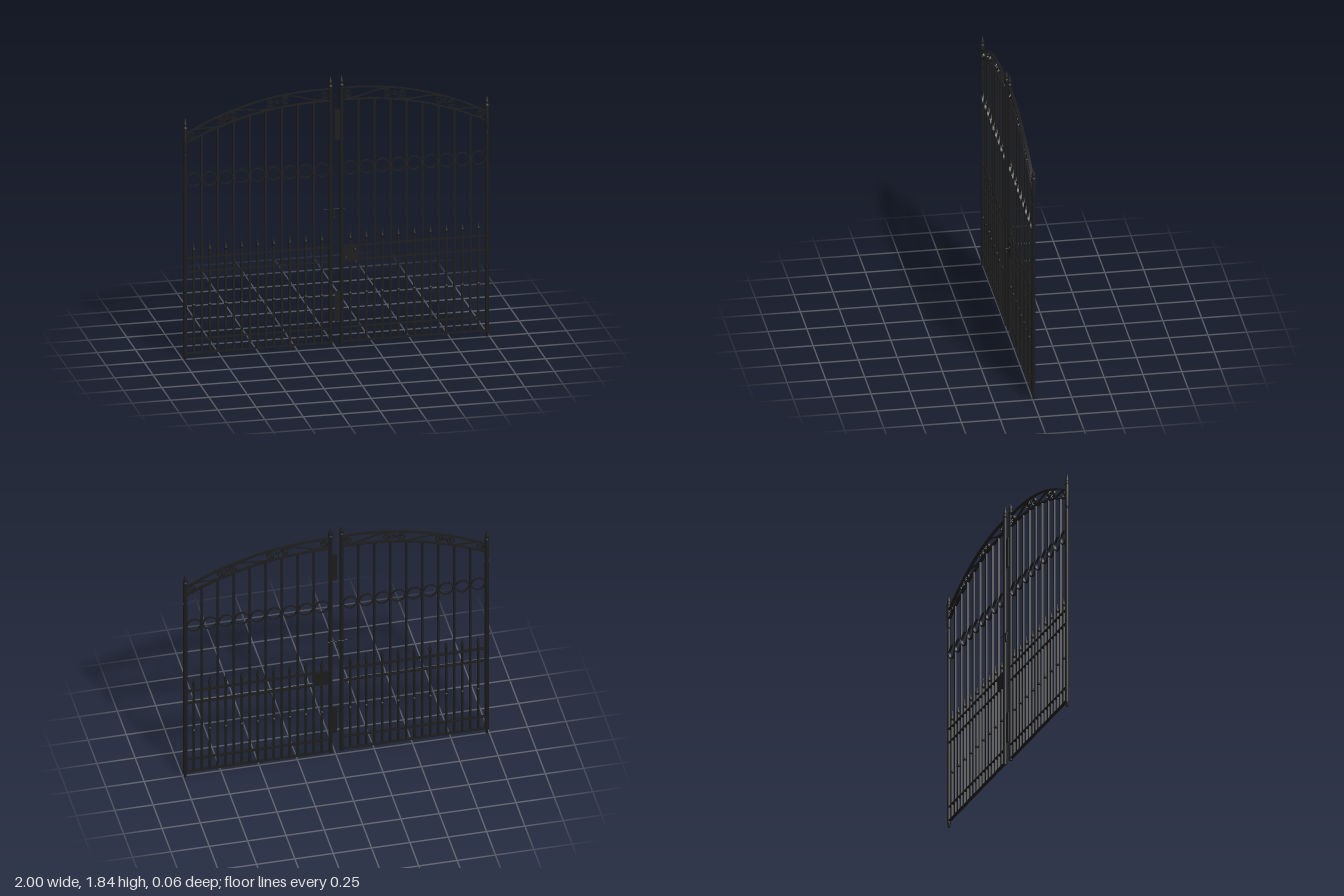
import * as THREE from 'three';

const iron = new THREE.MeshStandardMaterial({ color: 0x1b1b1b });
iron.name = 'black iron';

function add(parent, name, geometry, x = 0, y = 0, z = 0) {
  const mesh = new THREE.Mesh(geometry, iron);
  mesh.name = name;
  mesh.position.set(x, y, z);
  parent.add(mesh);
  return mesh;
}

const box = (w, h, d) => new THREE.BoxGeometry(w, h, d);
const lathe = (pts, n = 14) => new THREE.LatheGeometry(pts.map(([r, y]) => new THREE.Vector2(r, y)), n);

// Flat bar bent along a 2D path, extruded in z
function ribbon(points, thickness, depth) {
  const left = [], right = [];
  points.forEach((p, i) => {
    const a = points[Math.max(i - 1, 0)], b = points[Math.min(i + 1, points.length - 1)];
    const n = new THREE.Vector2(a.y - b.y, b.x - a.x).normalize().multiplyScalar(thickness / 2);
    left.push(p.clone().add(n));
    right.push(p.clone().sub(n));
  });
  const geo = new THREE.ExtrudeGeometry(new THREE.Shape([...left, ...right.reverse()]), { depth, bevelEnabled: false });
  return geo.translate(0, 0, -depth / 2);
}

function ring(radius, thickness, depth) {
  const shape = new THREE.Shape().absarc(0, 0, radius, 0, Math.PI * 2);
  shape.holes.push(new THREE.Path().absarc(0, 0, radius - thickness, 0, Math.PI * 2));
  return new THREE.ExtrudeGeometry(shape, { depth, bevelEnabled: false, curveSegments: 16 }).translate(0, 0, -depth / 2);
}

// Heights of the two arched rails at distance x from the centre
const drop = (x) => Math.pow(Math.max(x - 0.05, 0) / 0.93, 2.2);
const upperArch = (x) => 1.745 - 0.23 * drop(x);
const lowerArch = (x) => 1.665 - 0.212 * drop(x);
const middle = (x) => (upperArch(x) + lowerArch(x)) / 2;

// S-scroll: a spiral at each end, symmetric about its midpoint
function scroll(xa, xb, s) {
  const a = new THREE.Vector2(xa, middle(xa)), b = new THREE.Vector2(xb, middle(xb));
  const R = 0.029, dir = Math.sign(xb - xa), half = [];
  const tilt = Math.atan2(b.y - a.y, Math.abs(xb - xa));
  const place = (u, v) => new THREE.Vector2(
    a.x + dir * (u * Math.cos(tilt) - v * Math.sin(tilt)),
    a.y + u * Math.sin(tilt) + v * Math.cos(tilt));
  for (let i = 0; i <= 36; i++) {
    const t = i / 36, angle = Math.PI / 2 + (1 - t) * Math.PI * 3.2, r = 0.007 + (R - 0.007) * t;
    half.push(place(r * Math.cos(angle), r * Math.sin(angle)));
  }
  const len = a.distanceTo(b);
  const p0 = place(0, R), p1 = place(len * 0.4, R), p2 = place(len * 0.6, -R), p3 = place(len, -R);
  const bend = new THREE.CubicBezierCurve(p0, p1, p2, p3).getPoints(16).slice(1, -1);
  const other = half.map((p) => new THREE.Vector2(a.x + b.x - p.x, a.y + b.y - p.y)).reverse();
  const pts = [...half, ...bend, ...other];
  return ribbon(pts.map((p) => new THREE.Vector2(p.x * s, p.y)), 0.005, 0.012);
}

// Pointed cap, its base at y = 0
const finial = () => lathe([[0.013, 0], [0.016, 0.004], [0.016, 0.012], [0.009, 0.018], [0.013, 0.028],
  [0.012, 0.038], [0.006, 0.055], [0, 0.078]]);

function makeLeaf(s, z) {
  const leaf = new THREE.Group();
  leaf.name = s > 0 ? 'leftLeaf' : 'rightLeaf';
  leaf.position.z = z;

  // Posts with finials
  add(leaf, 'outerPost', lathe([[0, 0], [0.009, 0], [0.009, 0.03], [0.013, 0.03], [0.013, 1.37], [0.009, 1.375],
    [0.009, 1.395], [0.014, 1.4], [0.014, 1.55], [0, 1.55]]), s * 0.984);
  add(leaf, 'outerFinial', finial(), s * 0.984, 1.548);
  add(leaf, 'innerPost', lathe([[0, 0.03], [0.013, 0.03], [0.013, 1.76], [0, 1.76]]), s * 0.037);
  add(leaf, 'innerFinial', finial(), s * 0.037, 1.757);

  // Flat horizontal rails
  for (const y of [0.04, 0.135, 0.585, 0.68]) add(leaf, 'rail', box(0.935, 0.007, 0.02), s * 0.51, y);

  // Arched rails
  for (const [name, arch] of [['upperArch', upperArch], ['lowerArch', lowerArch]]) {
    const pts = [];
    for (let i = 0; i <= 32; i++) {
      const x = 0.045 + 0.93 * i / 32;
      pts.push(new THREE.Vector2(s * x, arch(x)));
    }
    add(leaf, name, ribbon(pts, 0.006, 0.02));
  }

  // Tall bars reaching the lower arch
  for (let k = 0; k < 8; k++) {
    const x = 0.146 + 0.1043 * k, h = lowerArch(x) - 0.04;
    add(leaf, 'tallBar', box(0.012, h, 0.012), s * x, 0.04 + h / 2);
  }

  // Short spear bars with knobs, and the ring row above them
  for (let k = 0; k < 9; k++) {
    const x = s * (0.0936 + 0.1043 * k);
    add(leaf, 'shortBar', box(0.012, 0.68, 0.012), x, 0.38);
    add(leaf, 'spearTip', lathe([[0.006, 0], [0.006, 0.012], [0.012, 0.022], [0.012, 0.03], [0.006, 0.045], [0, 0.085]], 10), x, 0.708);
    add(leaf, 'knob', new THREE.SphereGeometry(0.0125, 10, 8), x, 0.36);
    add(leaf, 'ring', ring(0.0465, 0.005, 0.014), x, 1.205);
  }

  // Scrollwork between the arches
  for (const [a, b] of [[0.941, 0.754], [0.668, 0.433], [0.332, 0.08]]) add(leaf, 'scroll', scroll(a, b, s));
  for (const x of [0.711, 0.383]) add(leaf, 'scrollCollar', ring(0.014, 0.005, 0.012), s * x, middle(x) + 0.003);
  return leaf;
}

export function createModel() {
  const gate = new THREE.Group();
  gate.name = 'doubleGate';
  gate.add(makeLeaf(-1, 0), makeLeaf(1, -0.008));

  // Cover plates over the centre gap
  for (const y of [0.278, 1.503]) add(gate, 'coverPlate', box(0.04, 0.205, 0.006), 0.014, y, -0.004);

  // Lock box with knob and pull
  add(gate, 'lockBox', box(0.1, 0.1, 0.018), 0.092, 0.632, -0.006);
  add(gate, 'lockKnob', new THREE.SphereGeometry(0.009, 12, 8), 0.122, 0.655, 0.006);
  const stem = add(gate, 'pullStem', new THREE.CylinderGeometry(0.003, 0.003, 0.02, 8), 0.06, 0.615, 0.01);
  stem.rotation.x = Math.PI / 2;
  const pull = add(gate, 'pullRing', new THREE.TorusGeometry(0.01, 0.002, 6, 16), 0.06, 0.61, 0.016);
  pull.rotation.y = Math.PI / 2;

  // Drop latch behind the gap
  const rod = add(gate, 'latchRod', new THREE.CylinderGeometry(0.0025, 0.0025, 0.135, 8), -0.0075, 0.926, -0.025);
  rod.rotation.z = Math.PI / 2;
  add(gate, 'latchSleeve', box(0.03, 0.008, 0.008), -0.008, 0.924, -0.022);
  add(gate, 'latchHandle', box(0.01, 0.05, 0.005), -0.008, 0.897, -0.022);
  const eye = add(gate, 'latchEye', new THREE.TorusGeometry(0.006, 0.0025, 6, 14), -0.008, 0.876, -0.022);
  eye.scale.y = 1.4;
  return gate;
}
